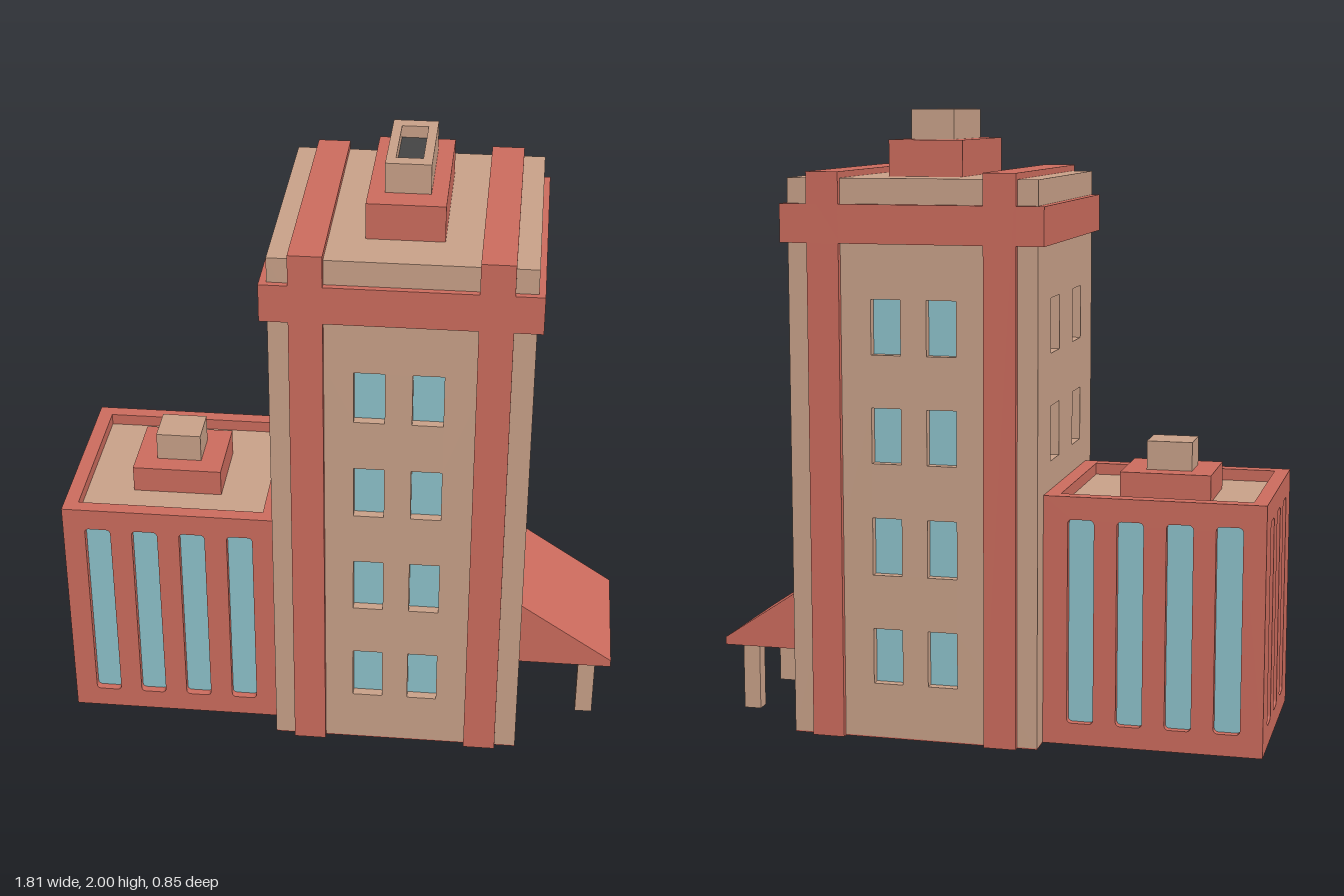
import * as THREE from 'three';

const mat = (name, color) => Object.assign(new THREE.MeshStandardMaterial({ color }), { name });

export function createModel() {
  const red = mat('brick red', 0xcb6b5d);
  const tan = mat('sandstone', 0xc8a088);
  const glass = mat('window glass', 0x8cc1ca);
  const dark = mat('vent grey', 0x444444);
  const model = new THREE.Group();
  model.name = 'building';

  const add = (parent, name, geometry, material) => {
    const mesh = new THREE.Mesh(geometry, material);
    mesh.name = name;
    parent.add(mesh);
    return mesh;
  };
  // Box given by its limits on each axis
  const box = (parent, name, material, [x0, x1], [y0, y1], [z0, z1]) => {
    const mesh = add(parent, name, new THREE.BoxGeometry(x1 - x0, y1 - y0, z1 - z0), material);
    mesh.position.set((x0 + x1) / 2, (y0 + y1) / 2, (z0 + z1) / 2);
    return mesh;
  };
  // Rectangle outline with optional rounded corners
  const rect = (x0, y0, x1, y1, r = 0) => {
    const s = new THREE.Shape();
    if (!r) {
      return s.moveTo(x0, y0).lineTo(x1, y0).lineTo(x1, y1).lineTo(x0, y1).closePath();
    }
    s.absarc(x1 - r, y0 + r, r, -Math.PI / 2, 0);
    s.absarc(x1 - r, y1 - r, r, 0, Math.PI / 2);
    s.absarc(x0 + r, y1 - r, r, Math.PI / 2, Math.PI);
    s.absarc(x0 + r, y0 + r, r, Math.PI, Math.PI * 1.5);
    return s.closePath();
  };
  // Wall with recessed windows; local z = 0 is its outer face
  const wall = (parent, name, material, width, height, depth, windows, recess, radius) => {
    const g = new THREE.Group();
    g.name = name;
    const outline = rect(-width / 2, 0.004, width / 2, height);
    for (const [u, w, y0, y1] of windows) {
      const pane = rect(u - w / 2, y0, u + w / 2, y1, radius);
      outline.holes.push(pane);
      add(g, 'windowPane', new THREE.ShapeGeometry(pane, 3), glass).position.z = -recess;
    }
    const geo = new THREE.ExtrudeGeometry(outline, { depth, bevelEnabled: false, curveSegments: 3 });
    add(g, 'wallPanel', geo.translate(0, 0, -depth), material);
    parent.add(g);
    return g;
  };
  // Four walls around a rectangle, from window lists per side
  const walls = (parent, material, [x0, x1], halfZ, height, depth, lists, recess, radius) => {
    const cx = (x0 + x1) / 2, w = x1 - x0, side = 2 * (halfZ - depth);
    const sides = [
      ['frontWall', w, cx, halfZ, 0], ['leftWall', side, x1, 0, Math.PI / 2],
      ['backWall', w, cx, -halfZ, Math.PI], ['rightWall', side, x0, 0, -Math.PI / 2],
    ];
    sides.forEach(([name, width, x, z, turn], i) => {
      const g = wall(parent, name, material, width, height, depth, lists[i], recess, radius);
      g.position.set(x, 0, z);
      g.rotation.y = turn;
    });
  };

  // Tower
  const tower = new THREE.Group();
  tower.name = 'tower';
  model.add(tower);
  const TX = [-0.205, 0.6];
  const rows = [[0.18, 0.36], [0.535, 0.72], [0.895, 1.072], [1.24, 1.415]];
  const grid = (columns, width, from) =>
    rows.slice(from).flatMap(([a, b]) => columns.map((u) => [u, width, a, b]));
  const towerMid = (TX[0] + TX[1]) / 2;
  const cols = [0.103, 0.283].map((x) => x - towerMid);
  walls(tower, tan, TX, 0.405, 1.79, 0.04, [
    grid(cols, 0.096, 0), grid([-0.163, 0.163], 0.122, 1),
    grid(cols.map((u) => -u), 0.096, 0), grid([-0.163, 0.163], 0.122, 2),
  ], 0.03, 0);
  box(tower, 'towerRoof', tan, [-0.17, 0.565], [1.75, 1.79], [-0.37, 0.37]);
  box(tower, 'towerBase', red, TX, [0, 0.004], [-0.405, 0.405]);

  // Vertical piers running over the roof, and the cornice band
  for (const x of [-0.088, 0.48]) {
    box(tower, 'pier', red, [x - 0.052, x + 0.052], [0, 1.81], [-0.425, 0.425]);
  }
  box(tower, 'corniceBand', red, [-0.228, 0.62], [1.588, 1.71], [-0.425, 0.425]);

  // Rooftop vent: red plinth, hollow curb and dark grille
  box(tower, 'ventPlinth', red, [0.075, 0.315], [1.78, 1.905], [-0.25, 0.25]);
  const curb = rect(-0.07, -0.166, 0.07, 0.166);
  curb.holes.push(rect(-0.041, -0.12, 0.041, 0.12));
  const curbGeo = new THREE.ExtrudeGeometry(curb, { depth: 0.095, bevelEnabled: false });
  add(tower, 'ventCurb', curbGeo.rotateX(-Math.PI / 2), tan).position.set(0.195, 1.905, 0);
  box(tower, 'ventGrille', dark, [0.154, 0.236], [1.955, 1.962], [-0.12, 0.12]);

  // Low annex with tall windows and a sunken roof
  const annex = new THREE.Group();
  annex.name = 'annex';
  model.add(annex);
  const AX = [-0.907, -0.205];
  const tall = (list) => list.map((u) => [u, 0.084, 0.07, 0.73]);
  const annexMid = (AX[0] + AX[1]) / 2;
  const four = [-0.793, -0.638, -0.482, -0.325].map((x) => x - annexMid);
  walls(annex, red, AX, 0.325, 0.803, 0.047,
    [tall(four), [], tall(four.map((u) => -u)), tall([-0.17, 0, 0.17])], 0.025, 0.014);
  box(annex, 'annexRoof', tan, [-0.865, -0.25], [0.74, 0.765], [-0.28, 0.28]);
  box(annex, 'annexBase', red, AX, [0, 0.004], [-0.325, 0.325]);
  box(annex, 'annexPlinth', red, [-0.705, -0.412], [0.76, 0.853], [-0.132, 0.132]);
  box(annex, 'annexChimney', tan, [-0.634, -0.487], [0.85, 0.946], [-0.066, 0.066]);

  // Entrance canopy on two posts
  const porch = new THREE.Group();
  porch.name = 'porch';
  model.add(porch);
  const profile = new THREE.Shape([[0.595, 0.225], [0.907, 0.225], [0.907, 0.25], [0.6, 0.455], [0.595, 0.455]]
    .map(([x, y]) => new THREE.Vector2(x, y)));
  const canopy = new THREE.ExtrudeGeometry(profile, { depth: 0.464, bevelEnabled: false });
  add(porch, 'canopy', canopy.translate(0, 0, -0.232), red);
  for (const z of [-0.173, 0.173]) {
    box(porch, 'porchPost', tan, [0.8, 0.857], [0, 0.226], [z - 0.024, z + 0.024]);
  }
  return model;
}
